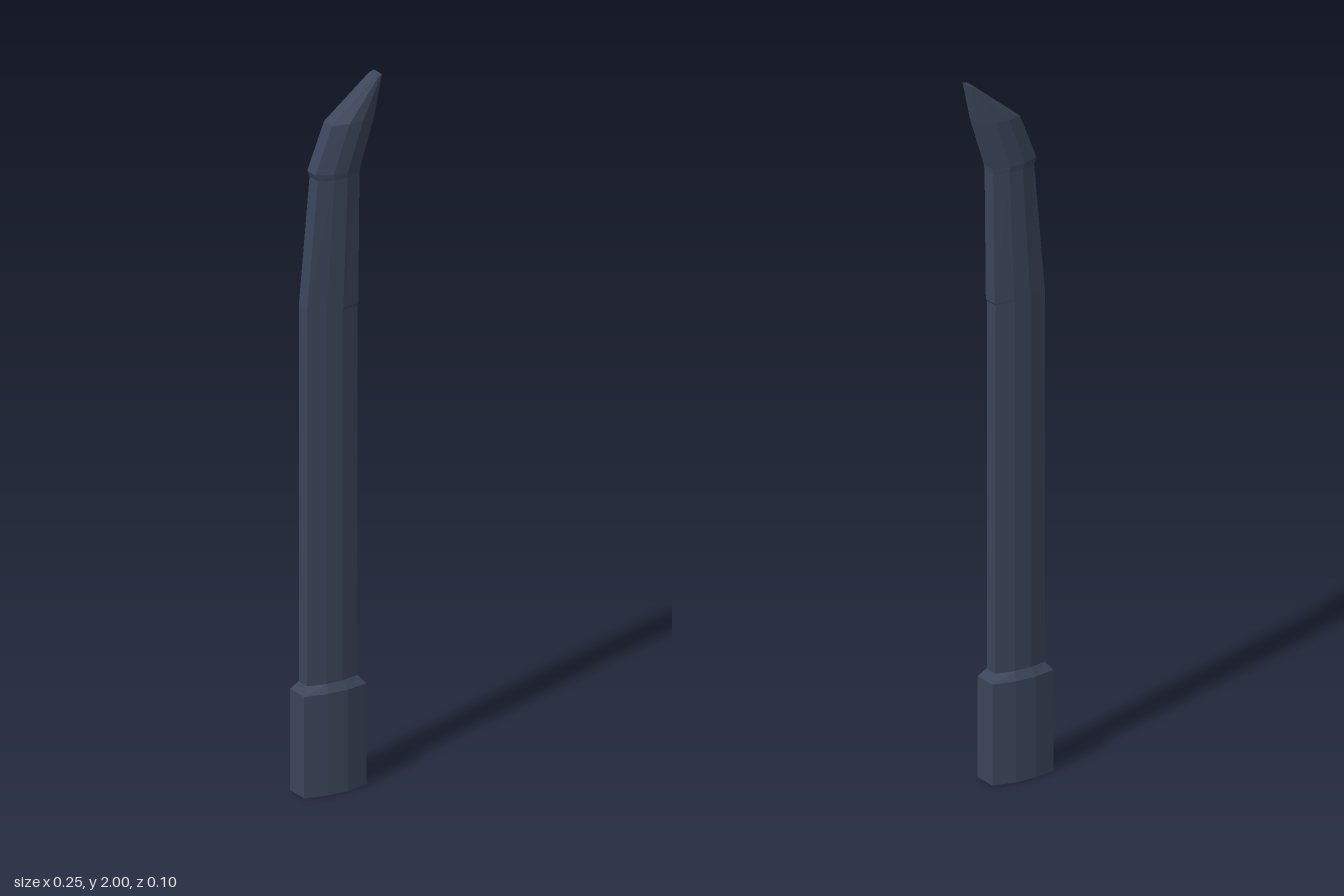
import * as THREE from 'three';

const material = new THREE.MeshStandardMaterial({ color: 0x3b455a, flatShading: true });

// Eight-sided section: back edge (x0, y0), front edge (x1, y1),
// half thickness at the edges and over the middle third.
function section([x0, y0, x1, y1, edge, mid]) {
  const at = (t, z) => new THREE.Vector3(x0 + (x1 - x0) * t, y0 + (y1 - y0) * t, z);
  return [
    at(0, edge), at(0.34, mid), at(0.66, mid), at(1, edge),
    at(1, -edge), at(0.66, -mid), at(0.34, -mid), at(0, -edge),
  ];
}

// Skin a stack of sections and close both ends.
function loft(name, rows) {
  const rings = rows.map(section);
  const positions = [];
  const tri = (...points) => points.forEach((p) => positions.push(p.x, p.y, p.z));
  for (let r = 0; r < rings.length - 1; r++) {
    for (let i = 0; i < 8; i++) {
      const j = (i + 1) % 8;
      const [a, b, c, d] = [rings[r][i], rings[r][j], rings[r + 1][j], rings[r + 1][i]];
      tri(a, b, c);
      tri(a, c, d);
    }
  }
  const first = rings[0];
  const last = rings[rings.length - 1];
  for (let i = 1; i < 7; i++) {
    tri(first[0], first[i + 1], first[i]);
    tri(last[0], last[i], last[i + 1]);
  }
  const geometry = new THREE.BufferGeometry();
  geometry.setAttribute('position', new THREE.Float32BufferAttribute(positions, 3));
  geometry.computeVertexNormals();
  const mesh = new THREE.Mesh(geometry, material);
  mesh.name = name;
  return mesh;
}

export function createModel() {
  const group = new THREE.Group();
  group.name = 'curvedBar';

  // Thick base collar with a chamfered top
  group.add(loft('collar', [
    [-0.126, 0, 0.066, 0, 0.036, 0.05],
    [-0.126, 0.288, 0.066, 0.288, 0.036, 0.05],
    [-0.108, 0.31, 0.048, 0.31, 0.022, 0.036],
  ]));

  // Long straight shaft, stepped on its front edge and leaning near the top
  group.add(loft('shaft', [
    [-0.108, 0.3, 0.047, 0.3, 0.021, 0.034],
    [-0.108, 1.37, 0.047, 1.36, 0.021, 0.034],
    [-0.108, 1.375, 0.05, 1.365, 0.021, 0.034],
    [-0.074, 1.745, 0.054, 1.745, 0.021, 0.034],
  ]));

  // Angled head tapering to a chisel tip
  group.add(loft('head', [
    [-0.074, 1.735, 0.054, 1.735, 0.021, 0.035],
    [-0.082, 1.755, 0.056, 1.75, 0.021, 0.037],
    [-0.03, 1.885, 0.1, 1.89, 0.021, 0.037],
    [0.106, 1.994, 0.124, 2, 0.02, 0.021],
  ]));

  return group;
}
